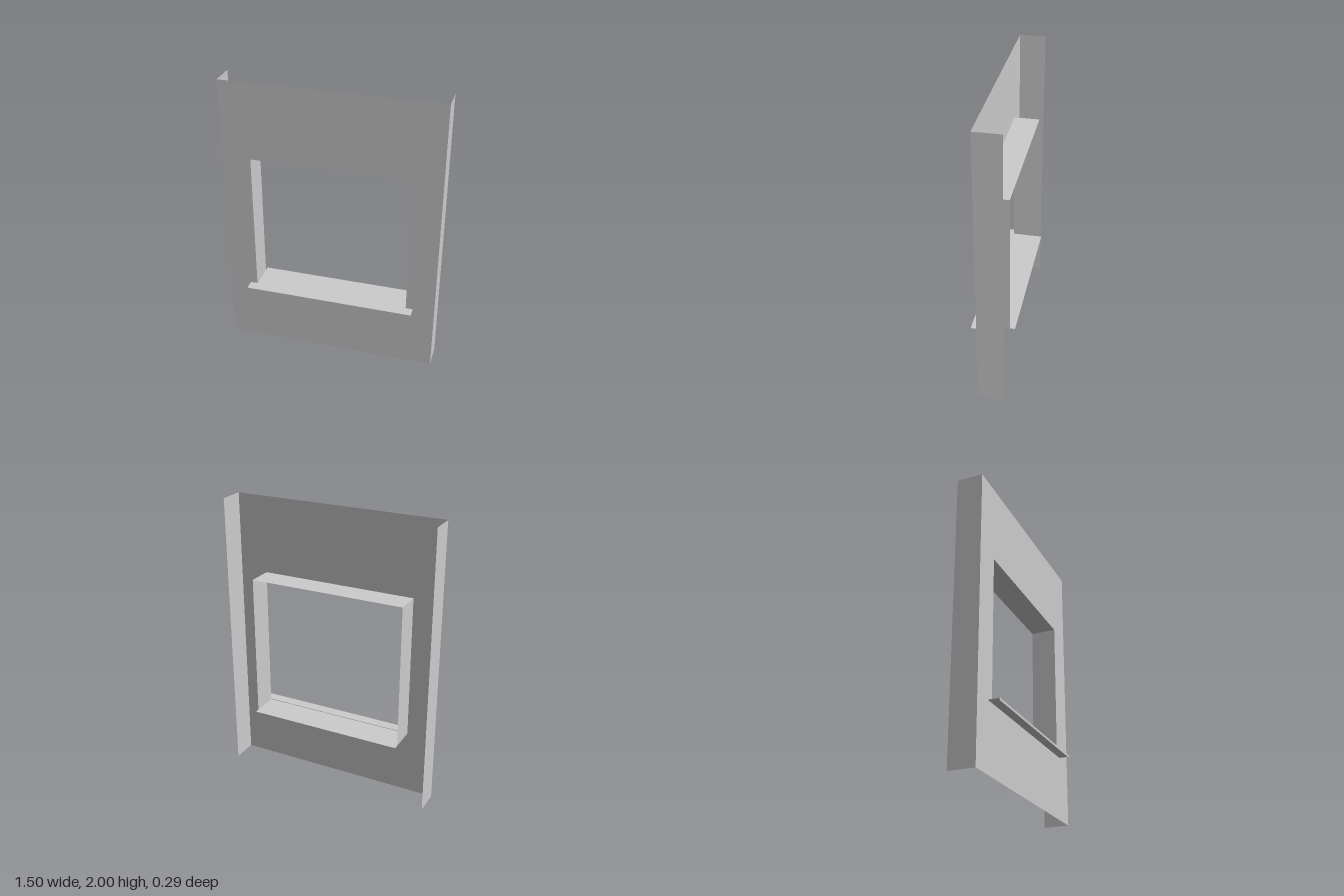
import * as THREE from 'three';

const FRONT = 0.07, BACK = -0.11;          // depth of the folded sheet
const HALF_W = 0.75, HEIGHT = 2;           // panel
const OPEN_X = 0.55, OPEN_LOW = 0.457, OPEN_TOP = 1.46; // window opening
const SILL_X = 0.6, SILL_END = 0.145, T = 0.005;

export function createModel() {
  const group = new THREE.Group();
  const material = new THREE.MeshStandardMaterial({ color: 0xcccccc, flatShading: true, side: THREE.DoubleSide });

  const add = (name, geometry) => {
    const mesh = new THREE.Mesh(geometry, material);
    mesh.name = name;
    group.add(mesh);
    return mesh;
  };

  // Upright sheet facing along x
  const upright = (name, x, low, top, side) => {
    const mesh = add(name, new THREE.PlaneGeometry(FRONT - BACK, top - low));
    mesh.rotation.y = side * Math.PI / 2;
    mesh.position.set(x, (low + top) / 2, (FRONT + BACK) / 2);
  };

  // Level sheet facing up
  const level = (name, y, z0, z1) => {
    const mesh = add(name, new THREE.PlaneGeometry(2 * OPEN_X, z1 - z0));
    mesh.rotation.x = -Math.PI / 2;
    mesh.position.set(0, y, (z0 + z1) / 2);
  };

  // Front sheet with the window opening
  const face = new THREE.Shape([
    [-HALF_W, 0], [HALF_W, 0], [HALF_W, HEIGHT], [-HALF_W, HEIGHT],
  ].map(([x, y]) => new THREE.Vector2(x, y)));
  face.holes.push(new THREE.Path([
    [-OPEN_X, OPEN_LOW], [-OPEN_X, OPEN_TOP], [OPEN_X, OPEN_TOP], [OPEN_X, OPEN_LOW],
  ].map(([x, y]) => new THREE.Vector2(x, y))));
  add('frontPanel', new THREE.ShapeGeometry(face)).position.z = FRONT;

  // Folded side flanges and window reveals
  for (const side of [-1, 1]) {
    const label = side > 0 ? 'left' : 'right';
    upright(label + 'Flange', side * HALF_W, 0, HEIGHT, side);
    upright(label + 'Reveal', side * OPEN_X, OPEN_LOW, OPEN_TOP, side);
  }
  level('topReveal', OPEN_TOP, BACK, FRONT);

  // Inner sill board, reaching past the reveals at the back
  level('innerSill', OPEN_LOW, -SILL_END, FRONT);

  // Wider outer sill with a turned-down drip lip: profile in (z, y)
  const sillTop = 0.46, lipLow = 0.443;
  const profile = new THREE.Shape([
    [FRONT, sillTop], [FRONT, sillTop - T], [SILL_END - T, sillTop - T],
    [SILL_END - T, lipLow], [SILL_END, lipLow], [SILL_END, sillTop],
  ].map(([z, y]) => new THREE.Vector2(z, y)));
  const sill = new THREE.ExtrudeGeometry(profile, { depth: 2 * SILL_X, bevelEnabled: false });
  sill.translate(0, 0, -SILL_X).rotateY(-Math.PI / 2);
  add('outerSill', sill);

  return group;
}
